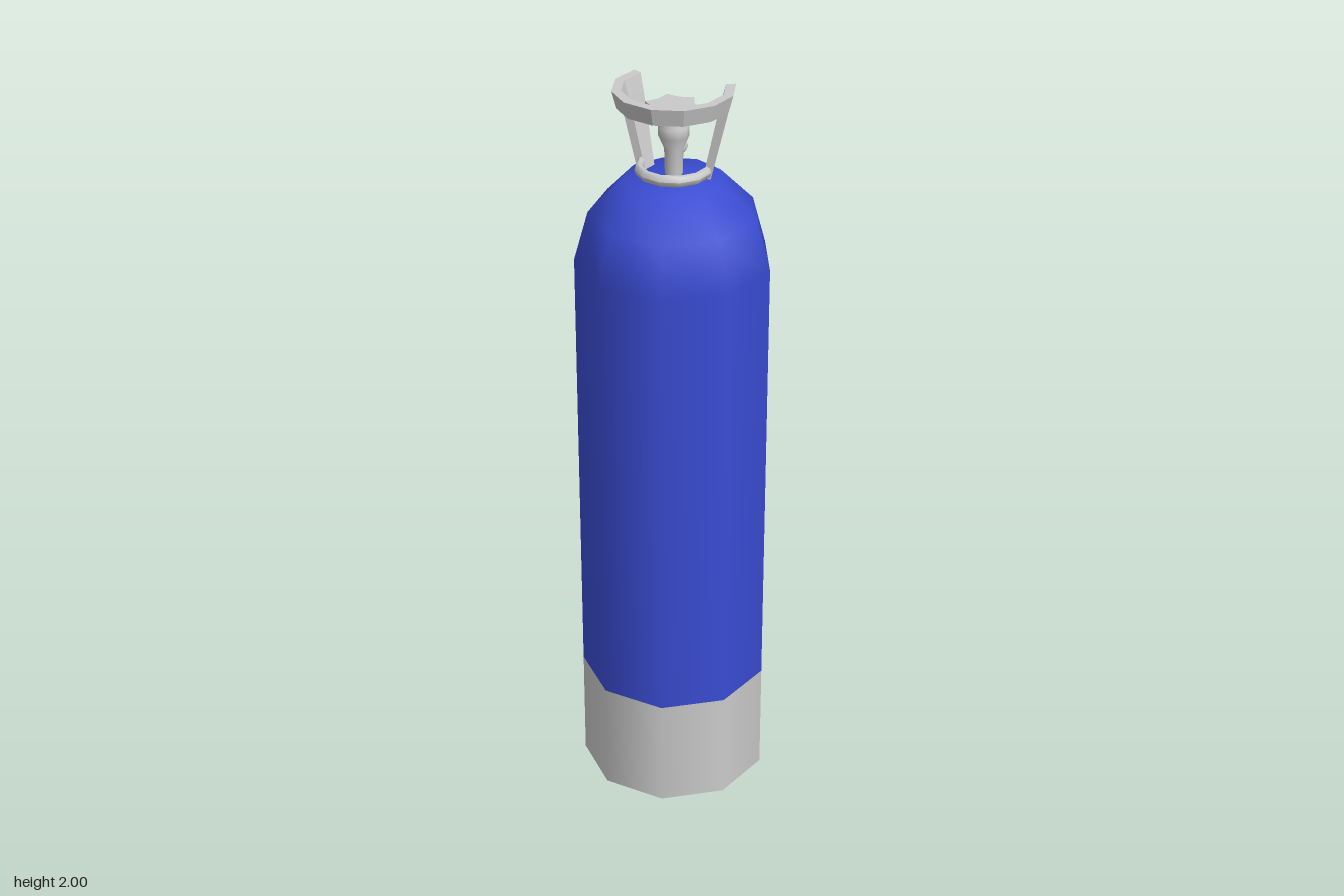
import * as THREE from 'three';

const CX = -0.008; // axis of the bottle
const R = 0.2537;
const rad = THREE.MathUtils.degToRad;

export function createModel() {
  const group = new THREE.Group();
  const blue = new THREE.MeshStandardMaterial({ color: 0x3a4cd2 });
  blue.name = 'bluePaint';
  const grey = new THREE.MeshStandardMaterial({ color: 0xcacaca });
  grey.name = 'greyMetal';

  const add = (name, geometry, material, x = CX, y = 0, z = 0) => {
    const mesh = new THREE.Mesh(geometry, material);
    mesh.name = name;
    mesh.position.set(x, y, z);
    group.add(mesh);
    return mesh;
  };
  const points = (list) => list.map(([r, y]) => new THREE.Vector2(r, y));
  const lathe = (list, sides, start = 0, length = Math.PI * 2) =>
    new THREE.LatheGeometry(points(list), sides, start, length);

  // Flat-shaded arc swept from a counter-clockwise (radius, height) outline, with closed ends
  const arc = (outline, fromDeg, toDeg, steps) => {
    const pos = [];
    const n = outline.length;
    const at = (i, k) => {
      const a = rad(fromDeg + ((toDeg - fromDeg) * i) / steps);
      const [r, y] = outline[k % n];
      return [r * Math.sin(a), y, r * Math.cos(a)];
    };
    const tri = (a, b, c) => pos.push(...a, ...b, ...c);
    for (let i = 0; i < steps; i++) {
      for (let k = 0; k < n; k++) {
        tri(at(i, k), at(i + 1, k), at(i + 1, k + 1));
        tri(at(i, k), at(i + 1, k + 1), at(i, k + 1));
      }
    }
    for (let k = 1; k < n - 1; k++) {
      tri(at(0, 0), at(0, k), at(0, k + 1));
      tri(at(steps, 0), at(steps, k + 1), at(steps, k));
    }
    const g = new THREE.BufferGeometry();
    g.setAttribute('position', new THREE.Float32BufferAttribute(pos, 3));
    g.computeVertexNormals();
    return g;
  };

  // Nine-sided bottle with a grey foot band
  const q = Math.PI / 2;
  add('bottle', lathe([[R, 0.31], [R, 1.54], [0.2175, 1.67], [0.127, 1.762], [0, 1.775]], 9, q), blue);
  add('footBand', lathe([[R, 0], [R, 0.31]], 9, q), grey);
  const base = new THREE.CircleGeometry(R, 9);
  base.rotateX(Math.PI / 2);
  add('bottleBase', base, grey);

  // Label wrapped around the back right faces
  const labelPos = [], labelNormals = [];
  const corners = [[0.216, -0.1], [R * Math.cos(rad(40)), -R * Math.sin(rad(40))],
    [R * Math.cos(rad(79.5)), -R * Math.sin(rad(79.5))]];
  for (const [x, z] of corners) {
    const d = Math.hypot(x, z);
    for (const y of [0.83, 1.295]) {
      labelPos.push(x + (x / d) * 0.003, y, z + (z / d) * 0.003);
      labelNormals.push(x / d, 0, z / d);
    }
  }
  const label = new THREE.BufferGeometry();
  label.setAttribute('position', new THREE.Float32BufferAttribute(labelPos, 3));
  label.setAttribute('normal', new THREE.Float32BufferAttribute(labelNormals, 3));
  label.setIndex([0, 2, 3, 0, 3, 1, 2, 4, 5, 2, 5, 3]);
  add('label', label, grey);

  // Valve guard: flared upper hoop, two side legs, rounded lower hoop
  add('guardHoop', arc([[0.118, 1.955], [0.143, 1.955], [0.155, 2], [0.13, 2]], -123, 117, 8), grey);
  const leg = [[0.077, 1.77], [0.098, 1.77], [0.143, 1.956], [0.118, 1.956]];
  add('guardLegRight', arc(leg, -123, -93, 1), grey);
  add('guardLegLeft', arc(leg, 87, 117, 1), grey);
  const tube = [];
  for (let i = 0; i <= 8; i++) {
    const a = (i / 8) * Math.PI * 2;
    tube.push([0.088 + 0.011 * Math.cos(a), 1.788 + 0.016 * Math.sin(a)]);
  }
  add('guardLowerHoop', lathe(tube, 6, rad(-93), Math.PI), grey);

  // Valve body and rear outlet
  add('valveBody', lathe([[0.022, 1.76], [0.024, 1.84], [0.039, 1.875], [0.039, 1.9],
    [0.027, 1.925], [0.027, 1.94]], 10), grey);
  const outlet = new THREE.CylinderGeometry(0.018, 0.018, 0.062, 8);
  outlet.rotateX(Math.PI / 2);
  add('valveOutlet', outlet, grey, CX, 1.825, -0.031);

  // Six-pointed hand knob
  const star = new THREE.Shape();
  for (let i = 0; i < 12; i++) {
    const a = (i * Math.PI) / 6;
    const r = i % 2 ? 0.054 : 0.072;
    if (i) star.lineTo(r * Math.cos(a), r * Math.sin(a));
    else star.moveTo(r, 0);
  }
  const knob = new THREE.ExtrudeGeometry(star, { depth: 0.018, bevelEnabled: false });
  knob.rotateX(-Math.PI / 2);
  add('handKnob', knob, grey, -0.01, 1.937, 0);

  return group;
}
